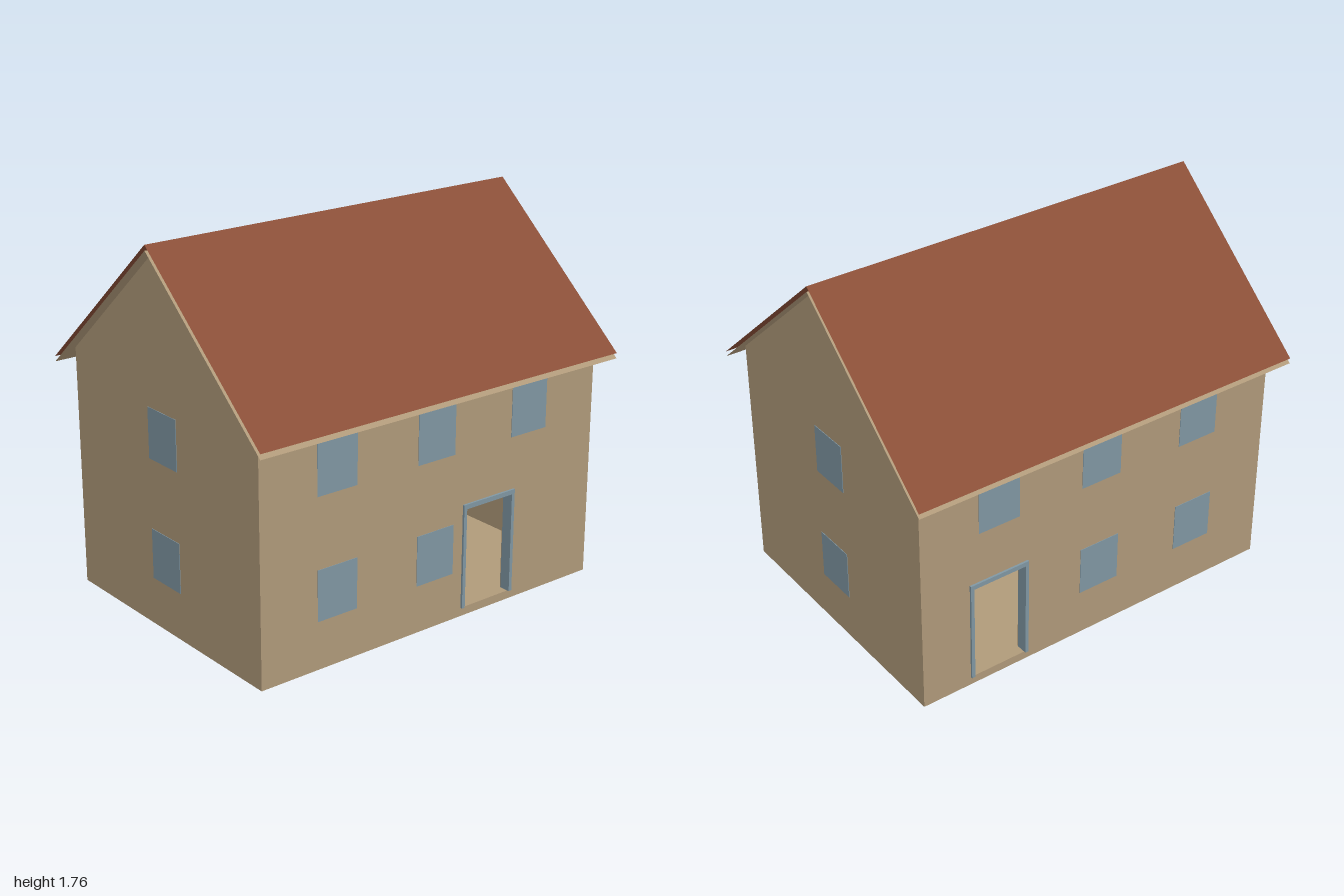
import * as THREE from 'three';

export function createModel() {
  const house = new THREE.Group();
  house.name = 'house';

  const mat = (name, color, side = THREE.FrontSide) => {
    const m = new THREE.MeshStandardMaterial({ color, side });
    m.name = name;
    return m;
  };
  const wallMat = mat('tan wall', 0xb09a7a, THREE.DoubleSide);
  const roofMat = mat('red brown roof', 0x8a4f38, THREE.DoubleSide);
  const blueMat = mat('grey blue', 0x8097a3);

  const add = (name, geometry, material, parent = house) => {
    const m = new THREE.Mesh(geometry, material);
    m.name = name;
    parent.add(m);
    return m;
  };
  const polygon = (Type, pts) => new Type(pts.map(([x, y]) => new THREE.Vector2(x, y)));
  const extrude = (shape, depth) => new THREE.ExtrudeGeometry(shape, { depth, bevelEnabled: false });

  const X = 0.945, Z = 0.685, T = 0.05, EAVE = 1.166, APEX = 1.745;
  const BASE = 0.04, DOOR_TOP = 0.52, DOOR_HALF = 0.1375, FRAME = 0.015;
  const ROWS = [0.343, 0.908];

  add('floor', new THREE.BoxGeometry(2 * X, BASE, 2 * Z).translate(0, BASE / 2, 0), wallMat);

  // Flush window pane centred on x, y of a wall group whose outside is z = 0
  const addWindow = (wall, x, y) =>
    add('window', new THREE.BoxGeometry(0.21, 0.236, 0.005).translate(x, y, 0), blueMat, wall);

  // Long walls, each with a doorway, a projecting frame and five windows
  const addLongWall = (name, front, doorX, lowerWindows) => {
    const wall = new THREE.Group();
    wall.name = name;
    wall.position.z = front ? Z : -Z;
    wall.rotation.y = front ? 0 : Math.PI;
    house.add(wall);

    const l = doorX - DOOR_HALF, r = doorX + DOOR_HALF;
    const shape = polygon(THREE.Shape, [[-X, 0], [X, 0], [X, EAVE], [-X, EAVE]]);
    shape.holes.push(polygon(THREE.Path, [[l, BASE], [l, DOOR_TOP], [r, DOOR_TOP], [r, BASE]]));
    add('wallPanel', extrude(shape, T).translate(0, 0, -T), wallMat, wall);

    // The frame lines the reveal and stands slightly proud of the wall
    const lip = 0.002, f = FRAME;
    const frame = polygon(THREE.Shape, [
      [l - f, BASE], [l + lip, BASE], [l + lip, DOOR_TOP - lip], [r - lip, DOOR_TOP - lip],
      [r - lip, BASE], [r + f, BASE], [r + f, DOOR_TOP + f + 0.005], [l - f, DOOR_TOP + f + 0.005],
    ]);
    add('doorFrame', extrude(frame, 0.055).translate(0, 0, -0.045), blueMat, wall);

    for (const x of [-0.545, 0, 0.545]) addWindow(wall, x, ROWS[1]);
    for (const x of lowerWindows) addWindow(wall, x, ROWS[0]);
  };
  addLongWall('frontWall', true, 0.3125, [-0.545, 0]);
  addLongWall('backWall', false, -0.5475, [0, 0.545]);

  // Gable walls with one window on each floor
  for (const side of [1, -1]) {
    const gable = new THREE.Group();
    gable.name = side > 0 ? 'leftGable' : 'rightGable';
    gable.position.x = side * X;
    gable.rotation.y = side * Math.PI / 2;
    house.add(gable);
    const shape = polygon(THREE.Shape, [[-Z, 0], [Z, 0], [Z, EAVE], [0, APEX], [-Z, EAVE]]);
    add('gablePanel', extrude(shape, T).translate(0, 0, -T), wallMat, gable);
    for (const y of ROWS) addWindow(gable, 0, y);
  }

  // Each roof slope is an outer sheet over a parallel lining, open at the edges
  const RUN = 0.775, RISE = 0.675;
  const addSheet = (name, ridgeY, side, material) => {
    const g = new THREE.PlaneGeometry(2, Math.hypot(RUN, RISE));
    g.rotateX(-Math.PI / 2 + Math.atan2(RISE, RUN));
    g.translate(0, ridgeY - RISE / 2, RUN / 2);
    if (side < 0) g.rotateY(Math.PI);
    add(name, g, material);
  };
  for (const side of [1, -1]) {
    const label = side > 0 ? 'front' : 'back';
    addSheet(label + 'RoofCover', 1.765, side, roofMat);
    addSheet(label + 'RoofLining', 1.74, side, wallMat);
  }

  return house;
}
